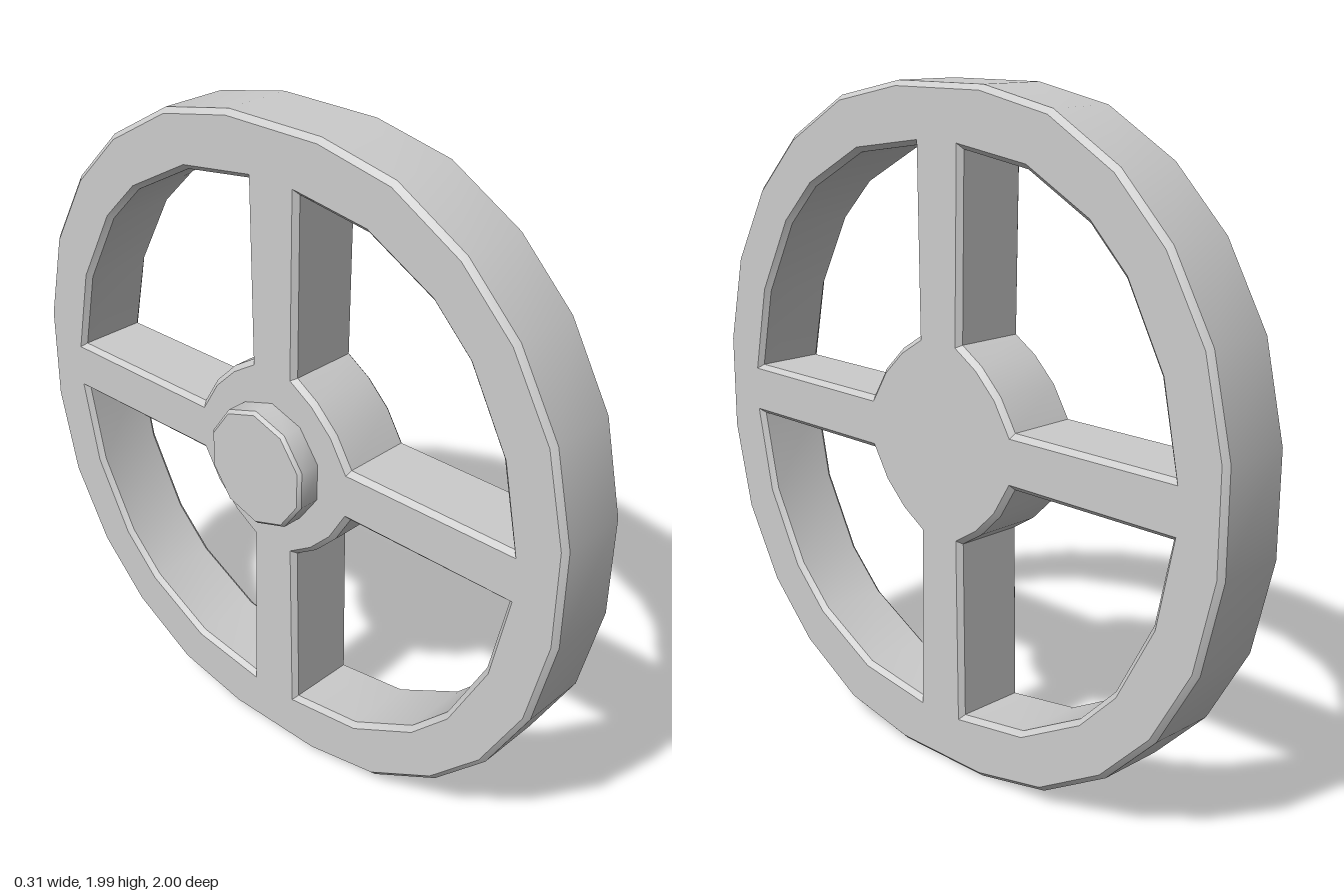
import * as THREE from 'three';
import { toCreasedNormals } from 'three/addons/utils/BufferGeometryUtils.js';

const BEVEL = 0.015;
const CREASE = 0.7;
const BACK = -0.085, FACE = 0.154, BOSS_END = -0.158;

// Upper right quarter of the rim, from the top round to the side
const RIM = [[0.165, 0.993], [0.413, 0.943], [0.638, 0.815], [0.807, 0.646], [0.937, 0.418], [1, 0.147]];

// One opening between two spokes: along the rim, down the spoke, round the hub
const OPENING = [
  [0.092, 0.822], [0.33, 0.787], [0.545, 0.672], [0.667, 0.55], [0.788, 0.325],
  [0.84, 0.08], [0.29, 0.08], [0.235, 0.17], [0.16, 0.243], [0.085, 0.29],
];

const mirrored = (points, sx, sy) => points.map(([x, y]) => new THREE.Vector2(x * sx, y * sy));

function wheelGeometry() {
  // Clockwise outline, counter-clockwise openings
  const shape = new THREE.Shape([
    ...mirrored(RIM, 1, 1),
    ...mirrored(RIM, 1, -1).reverse(),
    ...mirrored(RIM, -1, -1),
    ...mirrored(RIM, -1, 1).reverse(),
  ]);
  for (const sx of [1, -1]) {
    for (const sy of [1, -1]) {
      const points = mirrored(OPENING, sx, sy);
      shape.holes.push(new THREE.Path(sx * sy > 0 ? points.reverse() : points));
    }
  }
  const geometry = new THREE.ExtrudeGeometry(shape, {
    depth: FACE - BACK - 2 * BEVEL,
    bevelThickness: BEVEL,
    bevelSize: BEVEL,
    bevelOffset: -BEVEL,
    bevelSegments: 1,
  });
  geometry.translate(0, 0, BACK + BEVEL);
  geometry.rotateY(Math.PI / 2); // extrusion runs along x
  return toCreasedNormals(geometry, CREASE);
}

function bossGeometry() {
  const r = 0.185, end = -BOSS_END, chamfer = 0.01;
  const profile = [
    [r, -BACK - 0.02], [r, end - chamfer], [r - chamfer, end], [0, end],
  ].map(([x, y]) => new THREE.Vector2(x, y));
  const geometry = new THREE.LatheGeometry(profile, 10, Math.PI / 2);
  geometry.rotateZ(Math.PI / 2); // points towards -x
  return toCreasedNormals(geometry, CREASE);
}

export function createModel() {
  const group = new THREE.Group();
  group.name = 'spokedWheel';
  const material = new THREE.MeshStandardMaterial({ color: 0xcccccc });
  const add = (name, geometry) => {
    const mesh = new THREE.Mesh(geometry, material);
    mesh.name = name;
    mesh.position.y = 0.995;
    group.add(mesh);
  };

  // Rim, four spokes and hub in one bevelled plate
  add('wheelRimAndSpokes', wheelGeometry());
  // Short axle boss on one side of the hub
  add('axleBoss', bossGeometry());
  return group;
}
